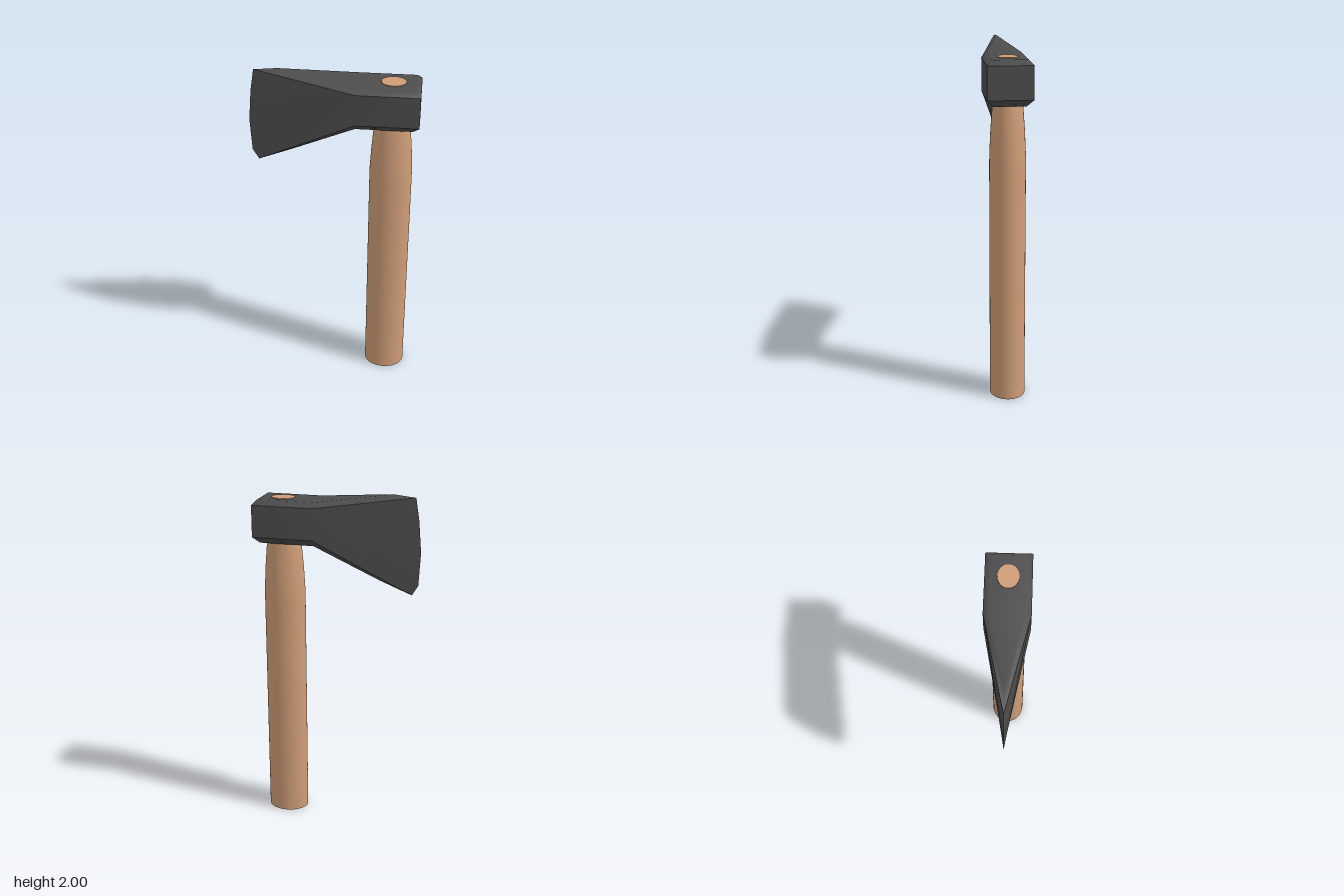
import * as THREE from 'three';

const steel = new THREE.MeshStandardMaterial({ color: 0x4d4d4d });
steel.name = 'darkSteel';
const wood = new THREE.MeshStandardMaterial({ color: 0xcf9d77 });
wood.name = 'wood';

// cutting edge, from the toe at the top down to the heel
const EDGE = [[-0.44, 1.987], [-0.46, 1.86], [-0.475, 1.68], [-0.465, 1.49], [-0.43, 1.43]]
  .map(([x, y]) => [x, y, 0]);
const TOP = 1.922, BOTTOM = 1.74, BUTT = 0.47, NECK = 0.12, HALF = 0.125;

function mesh(name, geometry, material) {
  const m = new THREE.Mesh(geometry, material);
  m.name = name;
  return m;
}

// smooth surface patch from shared points and triangles
function patch(points, index) {
  const g = new THREE.BufferGeometry();
  g.setAttribute('position', new THREE.Float32BufferAttribute(points.flat(), 3));
  g.setIndex(index);
  g.computeVertexNormals();
  return g;
}

// plan outline of the head: butt corners, neck corners and the tip
function outline(buttX, half, y, tip) {
  return [[buttX, y, half], [buttX, y, -half], [NECK, y, -half], tip, [NECK, y, half]];
}

// bevelled cap: an outer outline joined to an inner one, which is then filled
function cap(outer, inner, up) {
  const index = [];
  const tri = (a, b, c) => index.push(...(up ? [a, b, c] : [a, c, b]));
  for (let i = 0; i < 5; i++) {
    const j = (i + 1) % 5;
    tri(i, j, j + 5);
    tri(i, j + 5, i + 5);
  }
  tri(5, 6, 7);
  tri(5, 7, 9);
  tri(7, 8, 9);
  return patch([...outer, ...inner], index);
}

// cheek: flat butt side running into the tapering blade
function cheek(side) {
  const points = [
    [BUTT, TOP, HALF], [NECK, TOP, HALF], [NECK, BOTTOM, HALF], [BUTT, BOTTOM, HALF], ...EDGE,
  ].map(([x, y, z]) => [x, y, z * side]);
  const index = [];
  const tri = (a, b, c) => index.push(...(side > 0 ? [a, b, c] : [a, c, b]));
  tri(0, 1, 2);
  tri(0, 2, 3);
  const last = 3 + EDGE.length;
  for (let i = 4; i < last; i++) tri(1, i, i + 1);
  tri(1, last, 2);
  return patch(points, index);
}

function createHead() {
  const head = new THREE.Group();
  head.name = 'axeHead';
  head.add(
    mesh('leftCheek', cheek(1), steel),
    mesh('rightCheek', cheek(-1), steel),
    mesh('headTop', cap(
      outline(BUTT, HALF, TOP, EDGE[0]),
      outline(0.443, 0.097, 1.95, [-0.31, 2, 0]), true), steel),
    mesh('headUnderside', cap(
      outline(BUTT, HALF, BOTTOM, EDGE[EDGE.length - 1]),
      outline(0.435, 0.09, 1.702, [-0.24, 1.505, 0]), false), steel),
  );
  const butt = mesh('butt', new THREE.PlaneGeometry(2 * HALF, TOP - BOTTOM), steel);
  butt.rotation.y = Math.PI / 2;
  butt.position.set(BUTT, (TOP + BOTTOM) / 2, 0);
  head.add(butt);
  return head;
}

// oval handle, tapering through the eye of the head
function createHandle() {
  const handle = new THREE.Group();
  handle.name = 'handle';
  const profile = [[0.12, 0], [0.12, 1.36], [0.119, 1.42], [0.112, 1.55], [0.1, 1.69], [0.068, 1.954]]
    .map(([r, y]) => new THREE.Vector2(r, y));
  const shaft = mesh('shaft', new THREE.LatheGeometry(profile, 48), wood);
  const bottom = mesh('handleBottom', new THREE.CircleGeometry(0.12, 48), wood);
  bottom.rotation.x = Math.PI / 2;
  const top = mesh('handleTop', new THREE.CircleGeometry(0.068, 48), wood);
  top.rotation.x = -Math.PI / 2;
  top.position.y = 1.954;
  handle.add(shaft, bottom, top);
  handle.scale.z = 0.84;
  handle.position.x = 0.32;
  return handle;
}

export function createModel() {
  const axe = new THREE.Group();
  axe.name = 'axe';
  axe.add(createHead(), createHandle());
  return axe;
}
